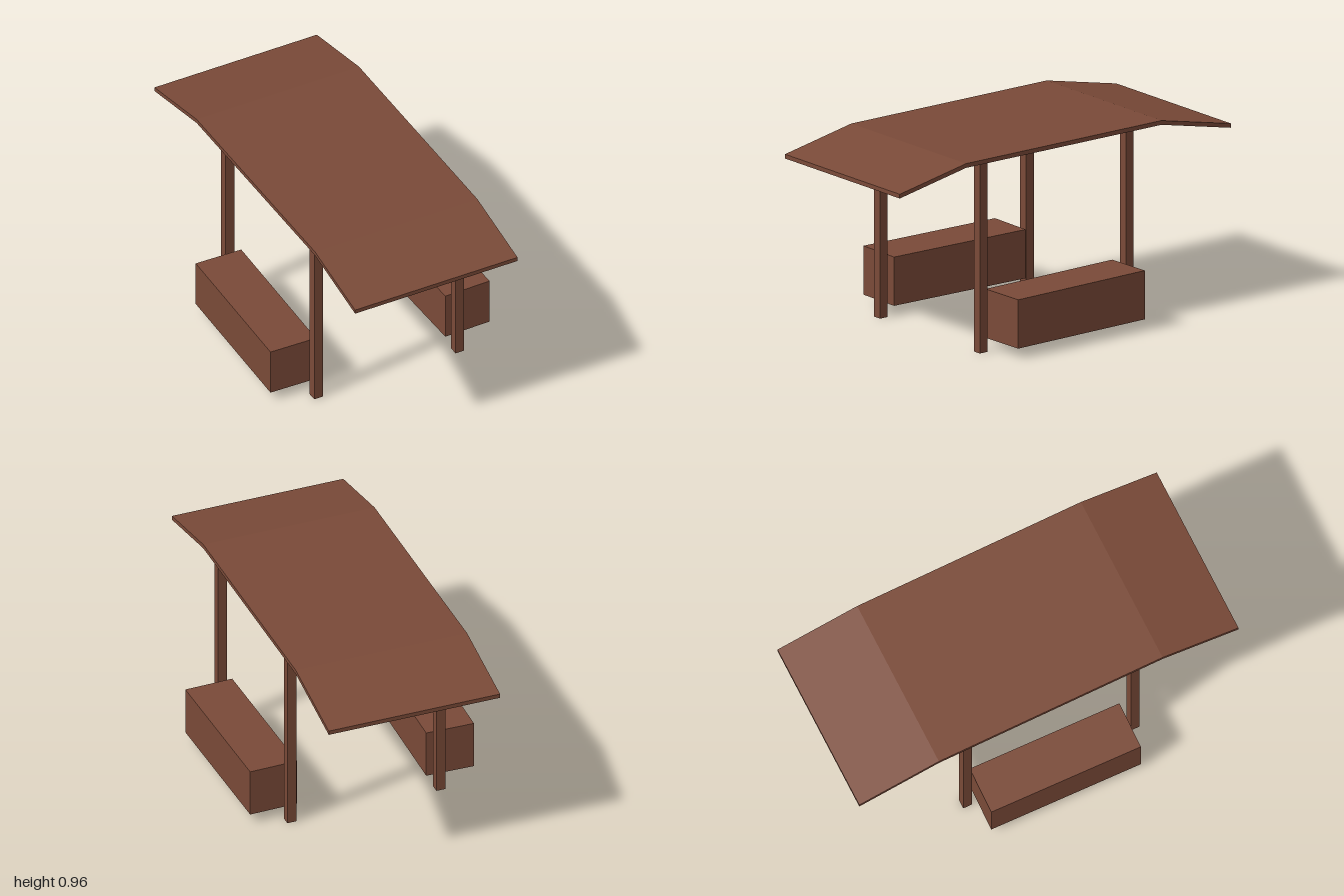
import * as THREE from 'three';

export function createModel() {
  const group = new THREE.Group();
  const wood = new THREE.MeshStandardMaterial({ color: 0x7a4a38 });
  wood.name = 'brown wood';

  const add = (name, geometry, x, y, z, turn = 0) => {
    const mesh = new THREE.Mesh(geometry, wood);
    mesh.name = name;
    mesh.position.set(x, y, z);
    mesh.rotation.y = turn;
    group.add(mesh);
  };

  // Canopy: bent side profile (z, y) extruded across the width
  const top = [[1, 0.877], [0.6, 0.956], [-0.58, 0.956], [-1, 0.866]];
  const thickness = 0.021;
  const outline = [...top, ...top.map(([z, y]) => [z, y - thickness]).reverse()];
  const profile = new THREE.Shape(outline.map(([z, y]) => new THREE.Vector2(-z, y)));
  const canopy = new THREE.ExtrudeGeometry(profile, { depth: 0.872, bevelEnabled: false });
  canopy.rotateY(Math.PI / 2); // shape x -> -z, depth -> +x
  add('canopy', canopy, -0.45, 0, 0);

  // Four square posts under the canopy
  const postHeight = 0.936;
  const post = new THREE.BoxGeometry(0.046, postHeight, 0.046);
  for (const [side, x] of [['right', -0.378], ['left', 0.381]]) {
    for (const [end, z] of [['Front', 0.479], ['Back', -0.404]]) {
      add(`${side}${end}Post`, post, x, postHeight / 2, z);
    }
  }

  // Two solid benches, slightly splayed towards the front
  const bench = new THREE.BoxGeometry(0.241, 0.24, 0.78);
  add('rightBench', bench, -0.46, 0.17, 0.029, -0.024);
  add('leftBench', bench, 0.457, 0.17, 0.029, 0.024);

  return group;
}
